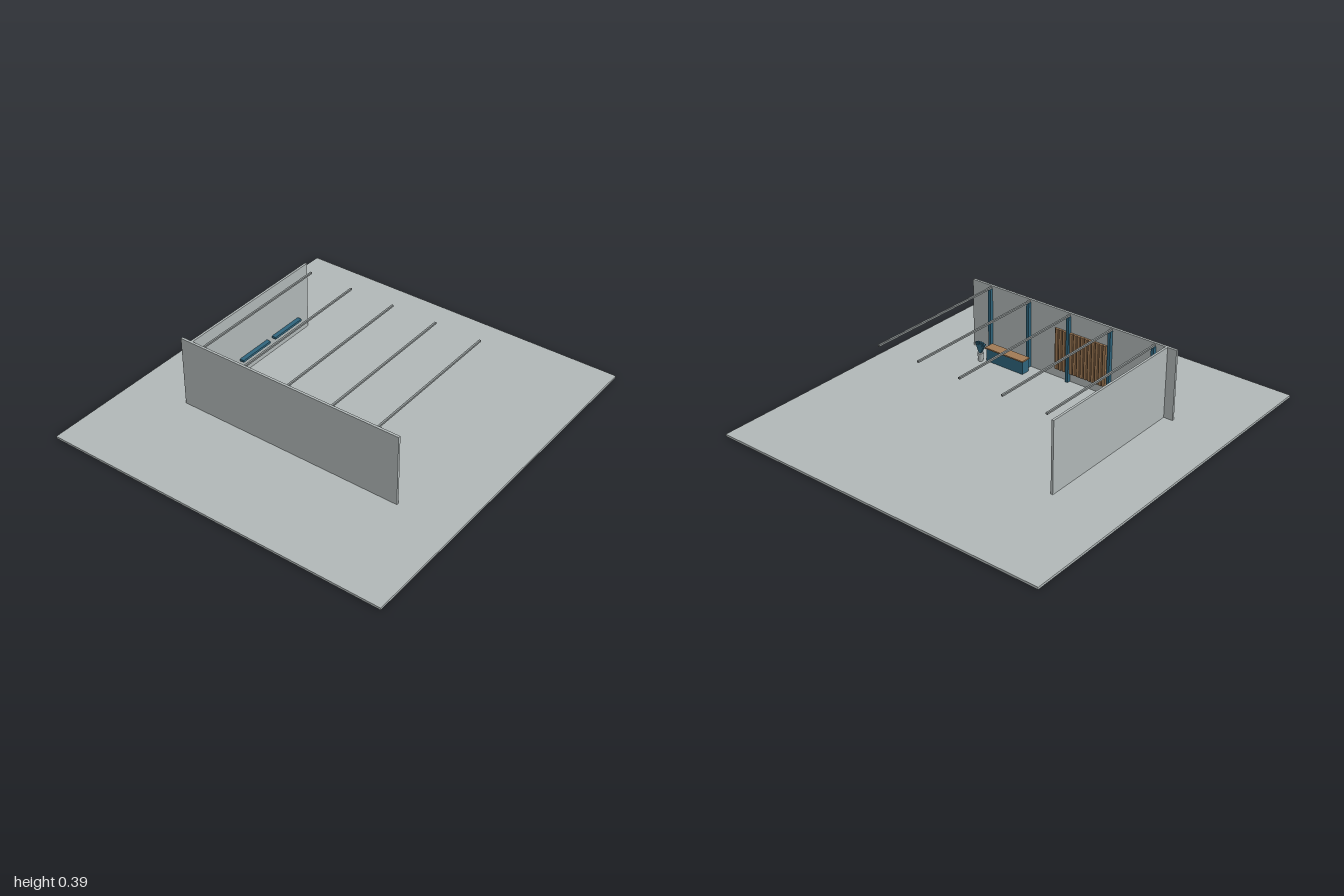
import * as THREE from 'three';

export function createModel() {
  const model = new THREE.Group();
  const mat = (name, color) => {
    const m = new THREE.MeshStandardMaterial({ color });
    m.name = name;
    return m;
  };
  const grey = mat('concrete grey', 0xb0b7b7);
  const steel = mat('beam grey', 0x8a9090);
  const teal = mat('teal', 0x2f647c);
  const wood = mat('wood', 0xa07a55);

  // Box given by its lower and upper limits on each axis
  const box = (name, m, x0, x1, y0, y1, z0, z1, parent = model) => {
    const mesh = new THREE.Mesh(new THREE.BoxGeometry(x1 - x0, y1 - y0, z1 - z0), m);
    mesh.position.set((x0 + x1) / 2, (y0 + y1) / 2, (z0 + z1) / 2);
    mesh.name = name;
    parent.add(mesh);
    return mesh;
  };

  // Floor slab and the two walls
  const top = 0.012;
  box('floor', grey, -0.935, 0.935, 0, top, -1, 1);
  box('frontWall', grey, -0.622, 0.622, top, 0.39, 0.428, 0.441);
  box('sideWall', grey, -0.572, -0.56, top, 0.39, -0.438, 0.428);

  // Ceiling beams, each carried by a column at the front wall
  for (const x of [-0.5, -0.25, 0, 0.25, 0.5]) {
    box('ceilingBeam', steel, x - 0.005, x + 0.005, 0.374, 0.383, -0.396, 0.428);
    box('column', teal, x - 0.008, x + 0.008, top, 0.374, 0.409, 0.428);
  }

  // Shelves along the side wall
  for (const z of [-0.25, 0, 0.25]) {
    box('wallShelf', teal, -0.56, -0.536, 0.095, 0.107, z - 0.105, z + 0.105);
  }

  // Slatted wood panel on the front wall
  const panel = new THREE.Group();
  panel.name = 'slattedPanel';
  model.add(panel);
  box('panelBack', wood, -0.228, 0.085, 0.06, 0.285, 0.421, 0.428, panel);
  const slats = 14, pitch = 0.313 / slats;
  for (let i = 0; i < slats; i++) {
    const x = -0.228 + i * pitch;
    box('slat', wood, x, x + pitch * 0.7, 0.06, 0.285, 0.415, 0.421, panel);
  }

  // Reception counter and small cabinet
  box('counterBase', teal, 0.22, 0.455, top, 0.083, 0.332, 0.38);
  box('counterTop', wood, 0.215, 0.46, 0.083, 0.09, 0.326, 0.384);
  box('cabinet', wood, -0.39, -0.308, top, 0.077, 0.265, 0.307);

  // Potted plants with blades fanned out sideways
  for (const x of [-0.432, 0.482]) {
    const plant = new THREE.Group();
    plant.name = 'pottedPlant';
    plant.position.set(x, top, 0.316);
    const pot = new THREE.Mesh(new THREE.CylinderGeometry(0.017, 0.013, 0.046, 12), grey);
    pot.position.y = 0.023;
    pot.name = 'pot';
    plant.add(pot);
    for (const angle of [-0.42, -0.21, 0, 0.21, 0.42]) {
      const geo = new THREE.BoxGeometry(0.009, 0.065, 0.014);
      geo.translate(0, 0.0325, 0);
      const leaf = new THREE.Mesh(geo, teal);
      leaf.position.y = 0.042;
      leaf.rotation.z = angle;
      leaf.name = 'leaf';
      plant.add(leaf);
    }
    model.add(plant);
  }
  return model;
}
